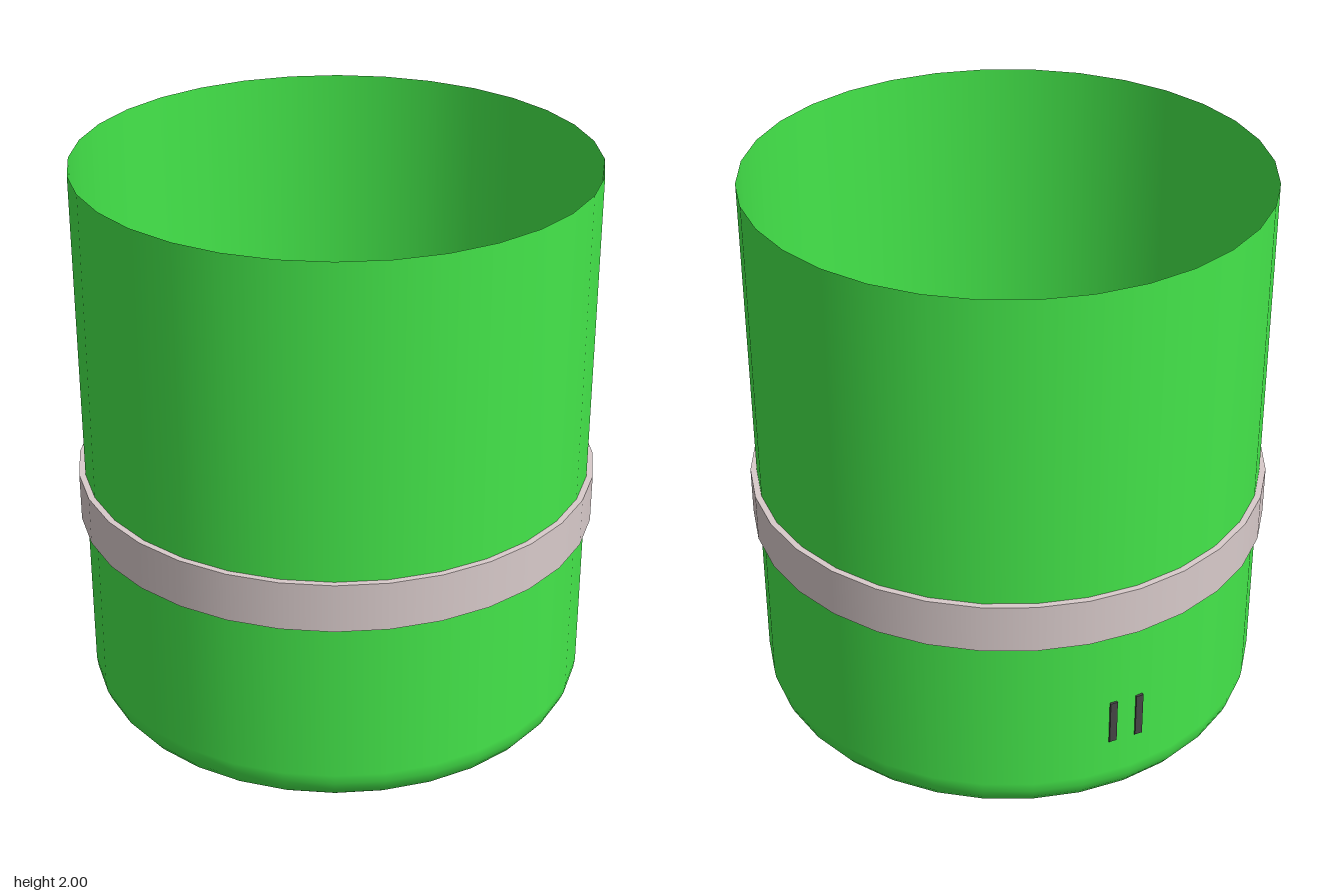
import * as THREE from 'three';

const mat = (color, side = THREE.FrontSide) => new THREE.MeshStandardMaterial({ color, side });
const green = mat(0x44e64a, THREE.DoubleSide);
const dark = mat(0x464646);
const bandMat = mat(0xd8caca);
const metal = mat(0xcccccc);
const SIDES = 32;

function add(parent, name, geometry, material, x = 0, y = 0, z = 0) {
  const mesh = new THREE.Mesh(geometry, material);
  mesh.name = name;
  mesh.position.set(x, y, z);
  parent.add(mesh);
  return mesh;
}

const lathe = (pts) =>
  new THREE.LatheGeometry(pts.map(([r, y]) => new THREE.Vector2(r, y)), SIDES);

// Rounded-apex quarter outline, inset evenly from the axes and outer radius
function quarter(PathType, inset, radius, fillet) {
  const p = new PathType();
  const reach = Math.sqrt(radius * radius - inset * inset);
  const a = Math.asin(inset / radius);
  p.moveTo(inset + fillet, inset);
  p.lineTo(reach, inset);
  p.absarc(0, 0, radius, a, Math.PI / 2 - a, false);
  p.lineTo(inset, inset + fillet);
  p.quadraticCurveTo(inset, inset, inset + fillet, inset);
  return p;
}

// Clip arm: screwed foot, two sloping rails, cross bars and a pin.
// It starts at its screw (x, z) and runs along (dx, dz).
function clipArm(name, x, z, dx, dz, length) {
  const arm = new THREE.Group();
  arm.name = name;
  arm.position.set(x, 0, z);
  arm.rotation.y = Math.atan2(-dz, dx);

  add(arm, 'foot', new THREE.BoxGeometry(0.19, 0.025, 0.113), dark, 0.02, 0.09, 0);
  const side = new THREE.Shape([
    [0.08, 0.08], [0.12, 0.08], [length, 0.41], [length, 0.56], [length - 0.05, 0.56], [0.08, 0.14],
  ].map(([u, v]) => new THREE.Vector2(u, v)));
  const rail = new THREE.ExtrudeGeometry(side, { depth: 0.024, bevelEnabled: false });
  for (const w of [-0.0565, 0.0325]) add(arm, 'rail', rail, dark, 0, 0, w);
  add(arm, 'innerBar', new THREE.BoxGeometry(0.05, 0.06, 0.09), dark, 0.105, 0.12, 0);
  add(arm, 'tipBar', new THREE.BoxGeometry(0.03, 0.06, 0.09), dark, length - 0.035, 0.525, 0);
  const pin = new THREE.CylinderGeometry(0.018, 0.018, 0.07, 12).rotateX(Math.PI / 2);
  add(arm, 'pin', pin, metal, length - 0.055, 0.49, 0);

  // Slotted screw
  add(arm, 'screw', new THREE.CylinderGeometry(0.04, 0.04, 0.025, 16), metal, 0, 0.112, 0);
  const slot = add(arm, 'screwSlot', new THREE.BoxGeometry(0.075, 0.004, 0.008), dark, 0, 0.124, 0);
  slot.rotation.y = 0.3;
  return arm;
}

export function createModel() {
  const model = new THREE.Group();
  model.name = 'openCup';

  // Open thin wall with a rounded lower corner
  const wall = [[0.58, 0.155], [0.69, 0.155]];
  for (let i = 1; i <= 6; i++) {
    const a = (i / 6) * Math.PI / 2;
    wall.push([0.69 + 0.13 * Math.sin(a), 0.285 - 0.13 * Math.cos(a)]);
  }
  wall.push([0.82, 2]);
  add(model, 'wall', lathe(wall), green);

  // Stepped neck below the wall
  add(model, 'neck', lathe([[0.5, 0.08], [0.525, 0.082], [0.555, 0.097], [0.575, 0.125], [0.58, 0.155]]), green);

  // Band around the middle
  const bandProfile = [[0.815, 0.825], [0.84, 0.825], [0.84, 0.985], [0.815, 0.985]];
  for (let i = 0; i < 3; i++) {
    add(model, 'band', lathe([bandProfile[i], bandProfile[i + 1]]), bandMat);
  }

  // Base plate with two raised quarter frames underneath
  add(model, 'basePlate', new THREE.CylinderGeometry(0.508, 0.508, 0.032, SIDES), dark, 0, 0.064, 0);
  const frame = quarter(THREE.Shape, 0, 0.48, 0.09);
  frame.holes.push(quarter(THREE.Path, 0.025, 0.455, 0.075));
  const frameGeo = new THREE.ExtrudeGeometry(frame, { depth: 0.05, bevelEnabled: false, curveSegments: 10 });
  frameGeo.rotateX(-Math.PI / 2);
  for (const turn of [0, Math.PI]) {
    add(model, 'baseFrame', frameGeo, dark, 0, 0, 0).rotation.y = turn;
  }

  // Clip arms inside the cup
  model.add(clipArm('backClip', -0.25, -0.24, -0.30, -0.34, 0.478));
  model.add(clipArm('frontClip', 0.25, 0.2, 0.375, 0.295, 0.47));
  return model;
}
